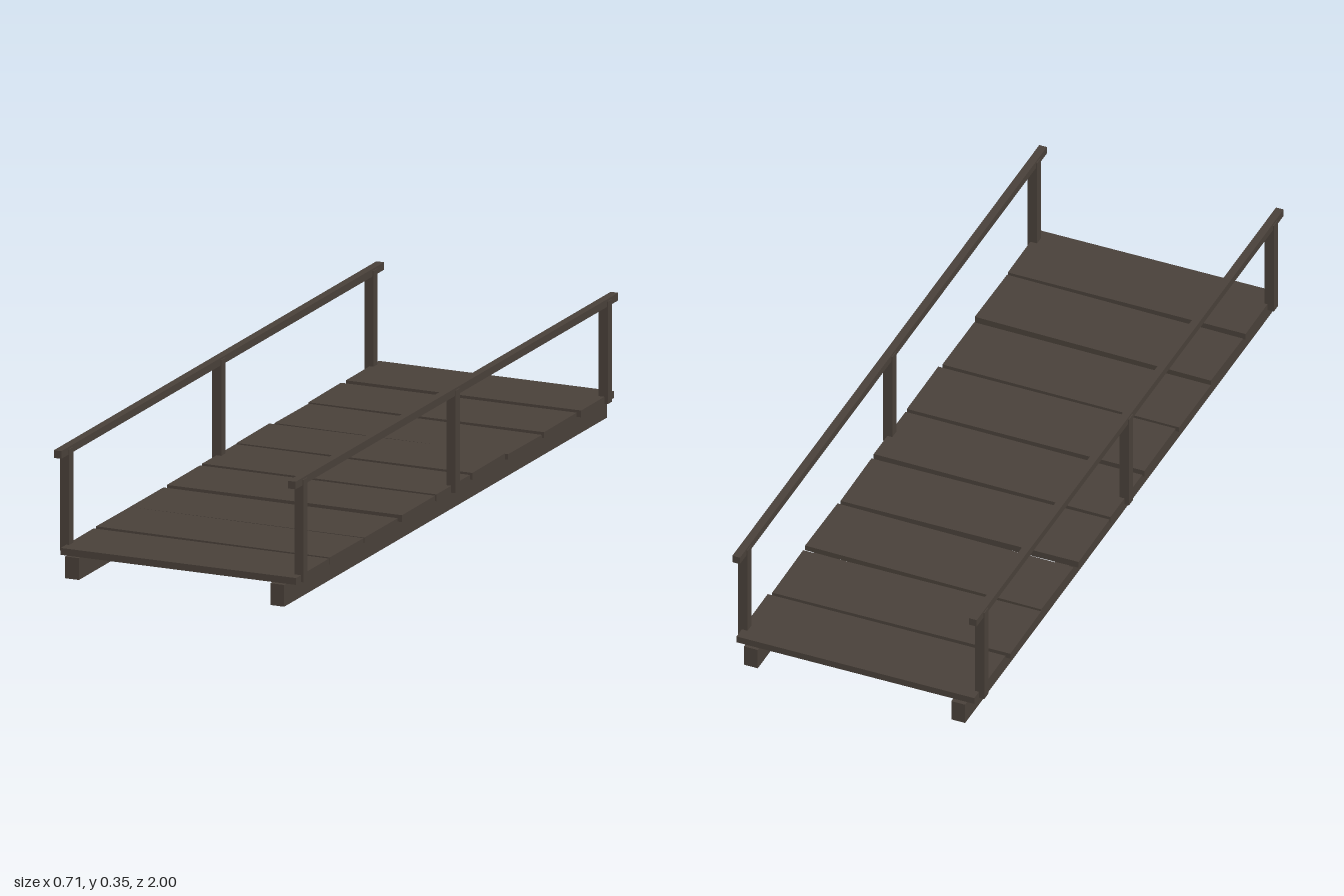
import * as THREE from 'three';

const wood = new THREE.MeshStandardMaterial({ color: 0x4a413a, flatShading: true });

function addBox(parent, name, size, position, yaw = 0) {
  const mesh = new THREE.Mesh(new THREE.BoxGeometry(...size), wood);
  mesh.name = name;
  mesh.position.set(...position);
  mesh.rotation.y = yaw;
  parent.add(mesh);
}

export function createModel() {
  const bridge = new THREE.Group();
  bridge.name = 'footbridge';

  // Deck: nine planks laid slightly askew, from back to front
  const deck = new THREE.Group();
  deck.name = 'deck';
  const yaws = [0.006, 0.01, -0.01, 0.01, -0.004, 0.004, -0.003, -0.01, 0.007];
  const tops = [0.079, 0.076, 0.075, 0.079, 0.079, 0.079, 0.075, 0.079, 0.079];
  const shifts = [0.003, -0.002, 0.002, -0.003, 0, 0.002, -0.002, 0.003, 0.005];
  yaws.forEach((yaw, i) => {
    const thickness = tops[i] - 0.06;
    addBox(deck, 'plank', [0.686, thickness, 0.206],
      [shifts[i], 0.06 + thickness / 2, (i - 4) * 0.2215], yaw);
  });
  bridge.add(deck);

  // Each side: bearing beam, three posts and a handrail
  for (const side of [-1, 1]) {
    addBox(bridge, 'beam', [0.04, 0.06, 2], [side * 0.3, 0.03, 0]);
    const railing = new THREE.Group();
    railing.name = side > 0 ? 'leftRailing' : 'rightRailing';
    for (const z of [-0.943, 0, 0.943]) {
      addBox(railing, 'post', [0.027, 0.282, 0.026], [side * 0.3425, 0.201, z]);
    }
    addBox(railing, 'handrail', [0.022, 0.021, 2], [side * 0.3425, 0.3375, 0]);
    bridge.add(railing);
  }
  return bridge;
}
